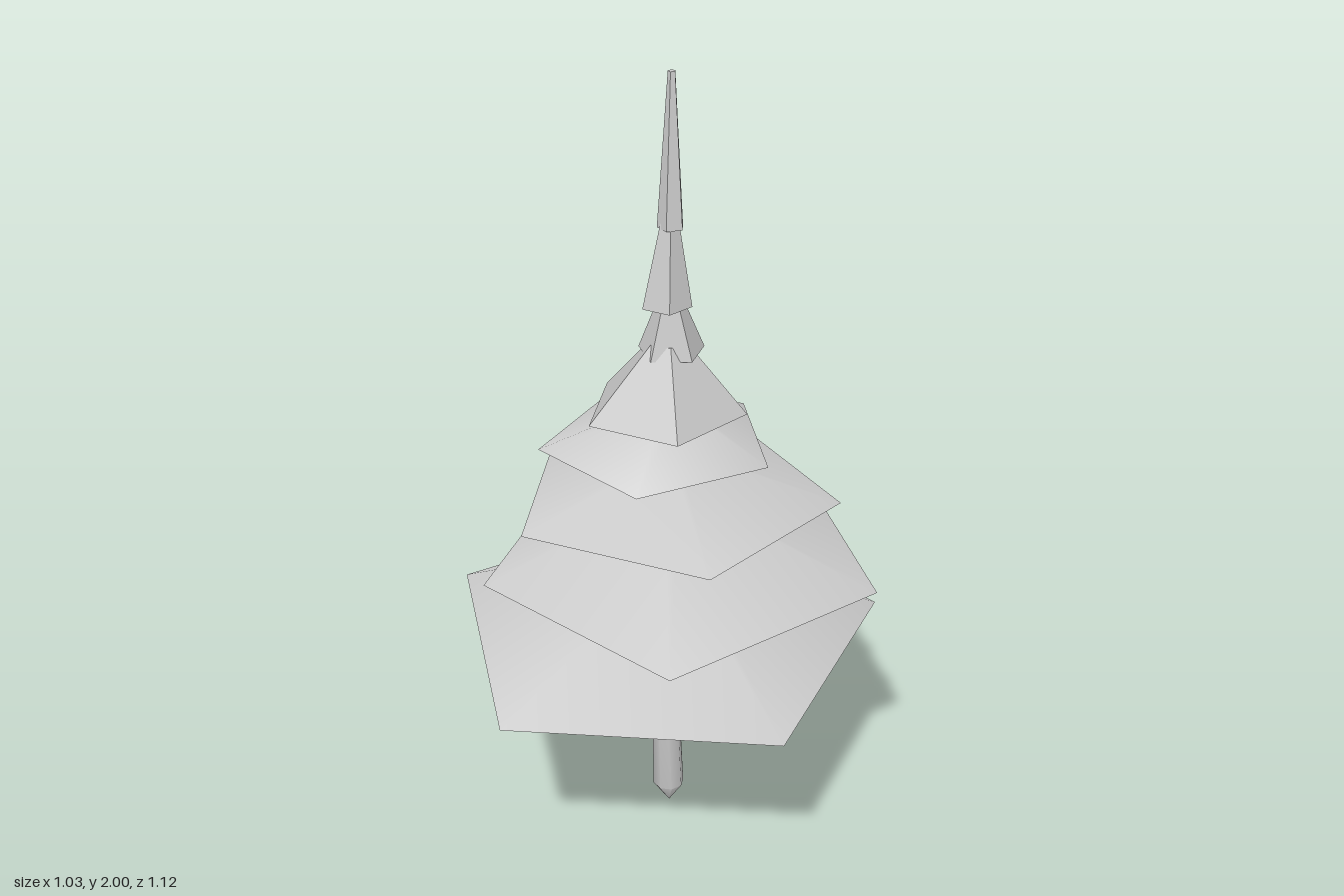
import * as THREE from 'three';
import { toCreasedNormals } from 'three/addons/utils/BufferGeometryUtils.js';

const material = new THREE.MeshStandardMaterial({ color: 0xcccccc });

// Five-sided ring as [x, z] corners
function pentagon(x, z, r, degrees) {
  return Array.from({ length: 5 }, (_, i) => {
    const a = THREE.MathUtils.degToRad(degrees + i * 72);
    return [x + r * Math.cos(a), z + r * Math.sin(a)];
  });
}

// Skirt of branches: sloped top, narrow neck and a shallow hollow underneath
function tierGeometry({ rim, y, top, neck, tilt = 0 }, center) {
  const [cx, cz] = center;
  const n = rim.length;
  const lower = rim.map(([x, z]) => [x, y + tilt * (0.5 - z), z]);
  const upper = rim.map(([x, z]) => [
    THREE.MathUtils.lerp(cx, x, neck), top, THREE.MathUtils.lerp(cz, z, neck),
  ]);
  const cap = [cx, top, cz];
  const hollow = [cx, y + (top - y) * 0.5, cz];
  const positions = [];
  const tri = (...corners) => corners.forEach((c) => positions.push(...c));
  for (let i = 0; i < n; i++) {
    const j = (i + 1) % n;
    tri(upper[i], lower[j], lower[i]);
    tri(upper[i], upper[j], lower[j]);
    tri(cap, upper[j], upper[i]);
    tri(hollow, lower[i], lower[j]);
  }
  const geometry = new THREE.BufferGeometry();
  geometry.setAttribute('position', new THREE.Float32BufferAttribute(positions, 3));
  return toCreasedNormals(geometry, THREE.MathUtils.degToRad(45));
}

// Tiers from bottom to top; the wide ones are slightly irregular
const tiers = [
  { y: 0.533, top: 0.785, neck: 0.07, tilt: 0.014,
    rim: [[0.515, 0.01], [0.125, 0.56], [-0.515, 0.36], [-0.505, -0.345], [0.14, -0.565]] },
  { y: 0.73, top: 0.95, neck: 0.06,
    rim: [[0.435, 0.26], [-0.14, 0.525], [-0.5, 0.02], [-0.187, -0.527], [0.42, -0.36]] },
  { y: 0.915, top: 1.06, neck: 0.06,
    rim: [[-0.26, -0.345], [0.23, -0.343], [0.375, 0.125], [-0.02, 0.41], [-0.415, 0.12]] },
  { y: 1.043, top: 1.18, neck: 0.12,
    rim: [[-0.113, -0.34], [0.21, -0.21], [0.185, 0.14], [-0.155, 0.225], [-0.34, -0.07]] },
  { y: 1.143, top: 1.34, neck: 0.22,
    rim: [[-0.143, -0.2], [0.093, -0.185], [0.155, 0.045], [-0.045, 0.174], [-0.23, 0.027]] },
  { y: 1.305, top: 1.46, neck: 0.3, rim: pentagon(-0.02, -0.01, 0.083, -78) },
  { y: 1.435, top: 1.66, neck: 0.32, rim: pentagon(-0.037, 0.014, 0.062, 23) },
  { y: 1.63, top: 2, neck: 0.28, rim: pentagon(-0.026, 0.018, 0.033, 50) },
];

export function createModel() {
  const tree = new THREE.Group();
  tree.name = 'tree';

  // Tapered trunk with a pointed foot, leaning slightly
  const profile = [[0, 0], [0.04, 0.06], [0.028, 0.72], [0, 0.72]]
    .map(([r, y]) => new THREE.Vector2(r, y));
  const trunkGeometry = new THREE.LatheGeometry(profile, 8);
  const p = trunkGeometry.attributes.position;
  for (let i = 0; i < p.count; i++) {
    p.setX(i, p.getX(i) - 0.035 - 0.025 * p.getY(i));
    p.setZ(i, p.getZ(i) + 0.017);
  }
  const trunk = new THREE.Mesh(
    toCreasedNormals(trunkGeometry, THREE.MathUtils.degToRad(50)), material);
  trunk.name = 'trunk';
  tree.add(trunk);

  // Branch tiers along the slightly bent axis
  tiers.forEach((tier, i) => {
    const center = [THREE.MathUtils.lerp(-0.045, -0.023, i / (tiers.length - 1)), 0.02];
    const mesh = new THREE.Mesh(tierGeometry(tier, center), material);
    mesh.name = i === tiers.length - 1 ? 'treeTop' : `branchTier${i + 1}`;
    tree.add(mesh);
  });
  return tree;
}
